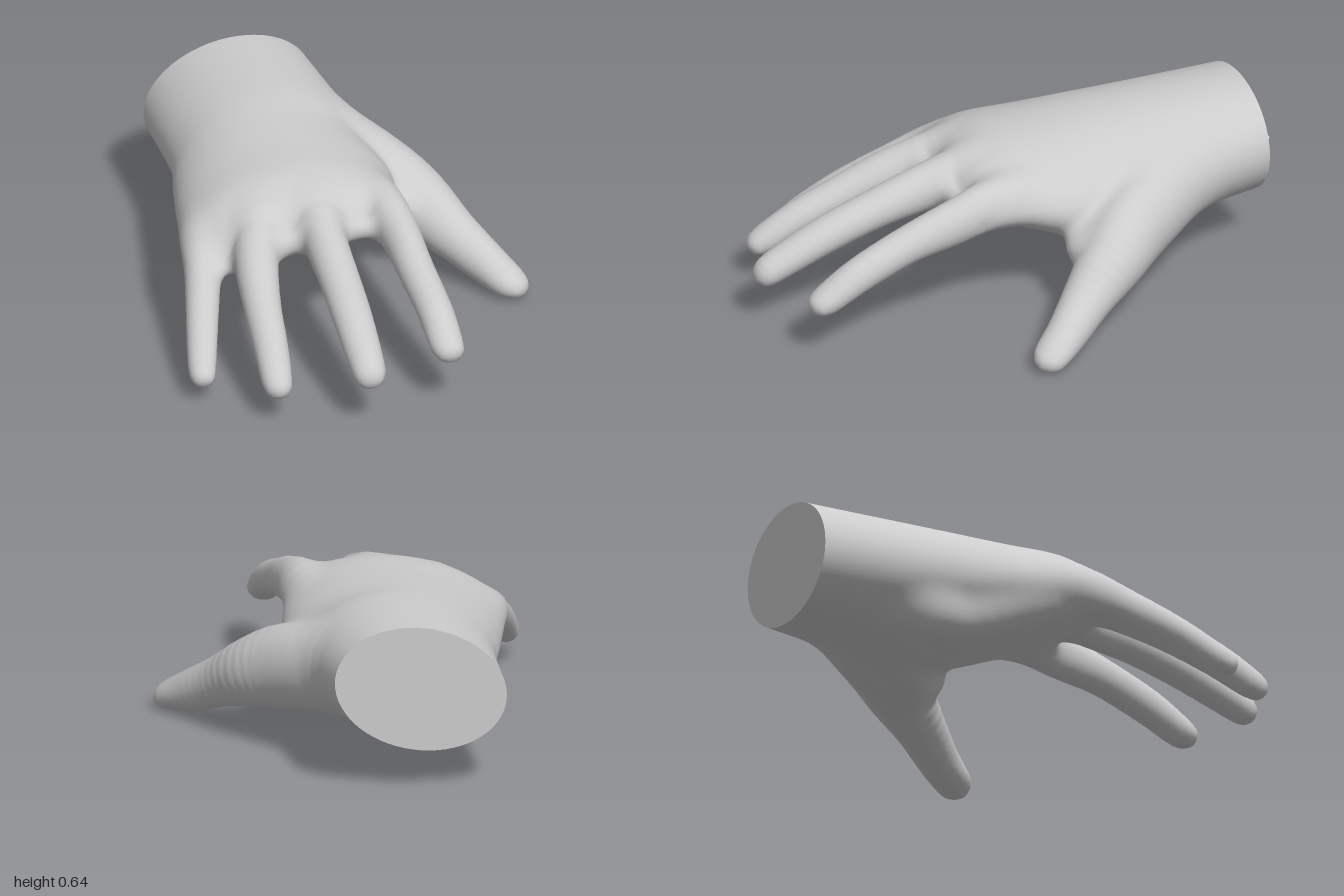
import * as THREE from 'three';

const STEP = 0.018;   // spacing of the skin mesh
const BLEND = 0.05;   // softness where parts meet

// Palm stations: [z, right x, left x, midline y at right / centre / left, half thickness]
const PALM = resample([
  [-1, -0.485, 0.17, 0.36, 0.395, 0.43, 0.242],
  [-0.6, -0.49, 0.235, 0.365, 0.393, 0.39, 0.245],
  [-0.4, -0.53, 0.255, 0.35, 0.388, 0.355, 0.236],
  [-0.2, -0.57, 0.27, 0.35, 0.405, 0.38, 0.208],
  [0, -0.605, 0.24, 0.355, 0.435, 0.425, 0.168],
  [0.12, -0.6, 0.23, 0.335, 0.44, 0.435, 0.128],
  [0.18, -0.58, 0.21, 0.325, 0.435, 0.43, 0.09],
  [0.215, -0.54, 0.175, 0.32, 0.425, 0.42, 0.055],
], 6);

// Limbs and pads: rows of [x, y, z, half width, half height]
const LIMBS = {
  palmHeel: [
    [-0.28, 0.28, -0.62, 0.12, 0.13], [-0.33, 0.22, -0.46, 0.14, 0.12], [-0.35, 0.215, -0.34, 0.14, 0.113],
    [-0.42, 0.28, -0.1, 0.13, 0.1], [-0.47, 0.32, 0.08, 0.1, 0.08],
  ],
  thumbPad: [[0.02, 0.28, -0.6, 0.1, 0.12], [0.09, 0.25, -0.42, 0.12, 0.12], [0.25, 0.25, -0.28, 0.11, 0.115]],
  thumbWeb: [[0.14, 0.35, -0.3, 0.1, 0.09], [0.3, 0.28, -0.19, 0.08, 0.07]],
  thumb: [
    [0.03, 0.38, -0.82, 0.09, 0.11], [0.12, 0.36, -0.6, 0.145, 0.165], [0.265, 0.31, -0.39, 0.145, 0.165],
    [0.38, 0.255, -0.26, 0.127, 0.135], [0.485, 0.175, -0.115, 0.098, 0.1], [0.585, 0.1, 0.015, 0.08, 0.08],
    [0.645, 0.06, 0.1, 0.074, 0.06], [0.672, 0.046, 0.125, 0.06, 0.046],
  ],
  indexFinger: [
    [0.1, 0.45, -0.15, 0.06, 0.05], [0.14, 0.47, 0.1, 0.085, 0.09], [0.17, 0.43, 0.3, 0.075, 0.09],
    [0.18, 0.38, 0.5, 0.07, 0.073], [0.2, 0.31, 0.7, 0.068, 0.068], [0.208, 0.242, 0.83, 0.066, 0.057],
    [0.213, 0.225, 0.868, 0.057, 0.047],
  ],
  middleFinger: [
    [-0.1, 0.47, -0.15, 0.06, 0.05], [-0.11, 0.48, 0.1, 0.095, 0.09], [-0.12, 0.435, 0.3, 0.082, 0.09],
    [-0.12, 0.385, 0.5, 0.078, 0.075], [-0.12, 0.32, 0.7, 0.076, 0.07], [-0.12, 0.23, 0.91, 0.067, 0.06],
    [-0.12, 0.205, 0.95, 0.058, 0.05],
  ],
  ringFinger: [
    [-0.28, 0.44, -0.15, 0.06, 0.05], [-0.33, 0.44, 0.1, 0.09, 0.09], [-0.39, 0.38, 0.3, 0.083, 0.085],
    [-0.42, 0.305, 0.5, 0.072, 0.07], [-0.435, 0.23, 0.68, 0.066, 0.063], [-0.446, 0.165, 0.8, 0.06, 0.056],
    [-0.448, 0.145, 0.838, 0.052, 0.047],
  ],
  littleFinger: [
    [-0.43, 0.39, -0.2, 0.06, 0.05], [-0.535, 0.36, 0.05, 0.07, 0.075], [-0.588, 0.285, 0.25, 0.067, 0.067],
    [-0.635, 0.205, 0.42, 0.061, 0.057], [-0.67, 0.125, 0.55, 0.055, 0.051], [-0.68, 0.098, 0.598, 0.048, 0.044],
  ],
};

// Catmull-Rom interpolation of rows of numbers
function resample(rows, steps) {
  const out = [], last = rows.length - 1;
  for (let k = 0; k <= last * steps; k++) {
    const i = Math.min(Math.floor(k / steps), last - 1);
    const t = k / steps - i;
    const [a, b, c, d] = [i - 1, i, i + 1, i + 2].map(n => rows[Math.max(0, Math.min(last, n))]);
    out.push(b.map((_, n) => 0.5 * (2 * b[n] + (c[n] - a[n]) * t
      + (2 * a[n] - 5 * b[n] + 4 * c[n] - d[n]) * t * t
      + (3 * b[n] - a[n] - 3 * c[n] + d[n]) * t * t * t)));
  }
  return out;
}

// Approximate signed distance to an ellipsoid
function ellipsoid(x, y, z, rx, ry, rz) {
  const a = x / rx, b = y / ry, c = z / rz;
  const k0 = Math.sqrt(a * a + b * b + c * c);
  const k1 = Math.sqrt((a / rx) ** 2 + (b / ry) ** 2 + (c / rz) ** 2);
  return k1 < 1e-6 ? -Math.min(rx, ry, rz) : k0 * (k0 - 1) / k1;
}

// Arched palm and wrist
function palmDistance(x, y, z) {
  const end = PALM[PALM.length - 1][0];
  const zc = Math.max(-1, Math.min(end, z));
  const i = Math.max(1, PALM.findIndex(r => r[0] >= zc - 1e-9));
  const t = (zc - PALM[i - 1][0]) / (PALM[i][0] - PALM[i - 1][0]);
  const [, x0, x1, yr, yc, yl, h] = PALM[i].map((v, n) => PALM[i - 1][n] + (v - PALM[i - 1][n]) * t);
  const dx = x - (x0 + x1) / 2, half = (x1 - x0) / 2;
  const u = Math.max(-1, Math.min(1, dx / half));
  const midline = yc + (yl - yr) / 2 * u + ((yl + yr) / 2 - yc) * u * u;
  return ellipsoid(dx, y - midline, Math.max(0, z - end), half, h, h);
}

// Tapered limb with oval sections and a rounded tip; far points all count as 0.2 away
function limbDistance(rows) {
  const s = resample(rows, 4);
  const segments = s.slice(1).map((b, i) => {
    const a = s[i];
    const axis = new THREE.Vector3(b[0] - a[0], b[1] - a[1], b[2] - a[2]);
    const length = axis.length();
    axis.normalize();
    const side = new THREE.Vector3(0, 1, 0).cross(axis).normalize();
    return { a, b, length, axis, side, rise: axis.clone().cross(side) };
  });
  return (x, y, z) => {
    let best = 0.2;
    for (const { a, b, length, axis, side, rise } of segments) {
      const dx = x - a[0], dy = y - a[1], dz = z - a[2];
      if (dx * dx + dy * dy + dz * dz > 0.18) continue;
      const along = dx * axis.x + dy * axis.y + dz * axis.z;
      const t = Math.max(0, Math.min(1, along / length));
      const rx = a[3] + (b[3] - a[3]) * t, ry = a[4] + (b[4] - a[4]) * t;
      best = Math.min(best, ellipsoid(dx * side.x + dy * side.y + dz * side.z,
        dx * rise.x + dy * rise.y + dz * rise.z, along - t * length, rx, ry, ry));
    }
    return best;
  };
}

// Net of quads over the zero surface of a field, sampled on a grid
function surfaceNet(field, min, size) {
  const stride = [1, size[0], size[0] * size[1]];
  const values = new Float32Array(stride[2] * size[2]);
  const points = [], quads = [], vertexOf = new Map();
  const eachPoint = visit => {
    for (let i = 0; i < values.length; i++)
      visit([i % size[0], Math.floor(i / stride[1]) % size[1], Math.floor(i / stride[2])], i);
  };
  eachPoint((p, i) => { values[i] = field(...p.map((v, n) => min[n] + v * STEP)); });

  // One vertex per crossed cell, at the mean of its edge crossings
  eachPoint((p, i) => {
    if (p.some((v, n) => v >= size[n] - 1)) return;
    const sum = [0, 0, 0];
    let count = 0;
    for (let c = 0; c < 8; c++) for (let n = 0; n < 3; n++) {
      if (c >> n & 1) continue;
      const corner = [c & 1, c >> 1 & 1, c >> 2 & 1];
      const j = i + corner[0] + corner[1] * stride[1] + corner[2] * stride[2];
      const f0 = values[j], f1 = values[j + stride[n]];
      if (f0 < 0 === f1 < 0) continue;
      corner[n] = f0 / (f0 - f1);
      corner.forEach((v, m) => { sum[m] += v; });
      count++;
    }
    if (!count) return;
    vertexOf.set(i, points.length);
    points.push(sum.map((v, n) => min[n] + (p[n] + v / count) * STEP));
  });

  // One quad around each crossed grid edge, facing outwards
  eachPoint((p, i) => {
    for (let n = 0; n < 3; n++) {
      const u = (n + 1) % 3, v = (n + 2) % 3;
      const inside = values[i] < 0;
      if (p[n] >= size[n] - 1 || !p[u] || !p[v] || inside === values[i + stride[n]] < 0) continue;
      const quad = [i - stride[u] - stride[v], i - stride[v], i, i - stride[u]].map(c => vertexOf.get(c));
      quads.push(inside ? quad : quad.reverse());
    }
  });
  return { points, quads };
}

export function createModel() {
  const hand = new THREE.Group();
  hand.name = 'hand';
  const skin = new THREE.MeshStandardMaterial({ color: 0xcccccc });
  const add = (name, geometry) => {
    const mesh = new THREE.Mesh(geometry, skin);
    mesh.name = name;
    hand.add(mesh);
  };

  // All parts melt into one skin
  const parts = { palm: palmDistance };
  for (const [name, rows] of Object.entries(LIMBS)) parts[name] = limbDistance(rows);
  const distances = Object.values(parts);
  const field = (x, y, z) => distances.reduce((d, part) => {
    const e = part(x, y, z);
    const h = Math.max(0, 1 - Math.abs(d - e) / BLEND);
    return Math.min(d, e) - h * h * BLEND / 4;
  }, 1);
  const { points, quads } = surfaceNet(field, [-0.78, -0.04, -1 - STEP / 2], [87, 41, 115]);

  // Smooth normals from the slope of the field
  const e = 0.012;
  const normals = points.map(([x, y, z]) => new THREE.Vector3(
    field(x + e, y, z) - field(x - e, y, z), field(x, y + e, z) - field(x, y - e, z),
    field(x, y, z + e) - field(x, y, z - e)).normalize().toArray());

  // Share the skin out to the nearest part
  const nearest = quads.map(quad => {
    const d = distances.map(part => part(...points[quad[0]]));
    return d.indexOf(Math.min(...d));
  });
  Object.keys(parts).forEach((name, i) => {
    const corners = quads.filter((_, q) => nearest[q] === i).flatMap(([a, b, c, d]) => [a, b, c, a, c, d]);
    const geometry = new THREE.BufferGeometry();
    geometry.setAttribute('position', new THREE.Float32BufferAttribute(corners.flatMap(k => points[k]), 3));
    geometry.setAttribute('normal', new THREE.Float32BufferAttribute(corners.flatMap(k => normals[k]), 3));
    add(name, geometry);
  });

  // Flat oval cut at the wrist, facing backwards
  const oval = new THREE.Matrix4().makeBasis(new THREE.Vector3(-0.3275, -0.035, 0),
    new THREE.Vector3(0, 0.242, 0), new THREE.Vector3(0, 0, -1)).setPosition(-0.1575, 0.395, -1);
  add('wristCut', new THREE.CircleGeometry(1, 64).applyMatrix4(oval));
  return hand;
}
